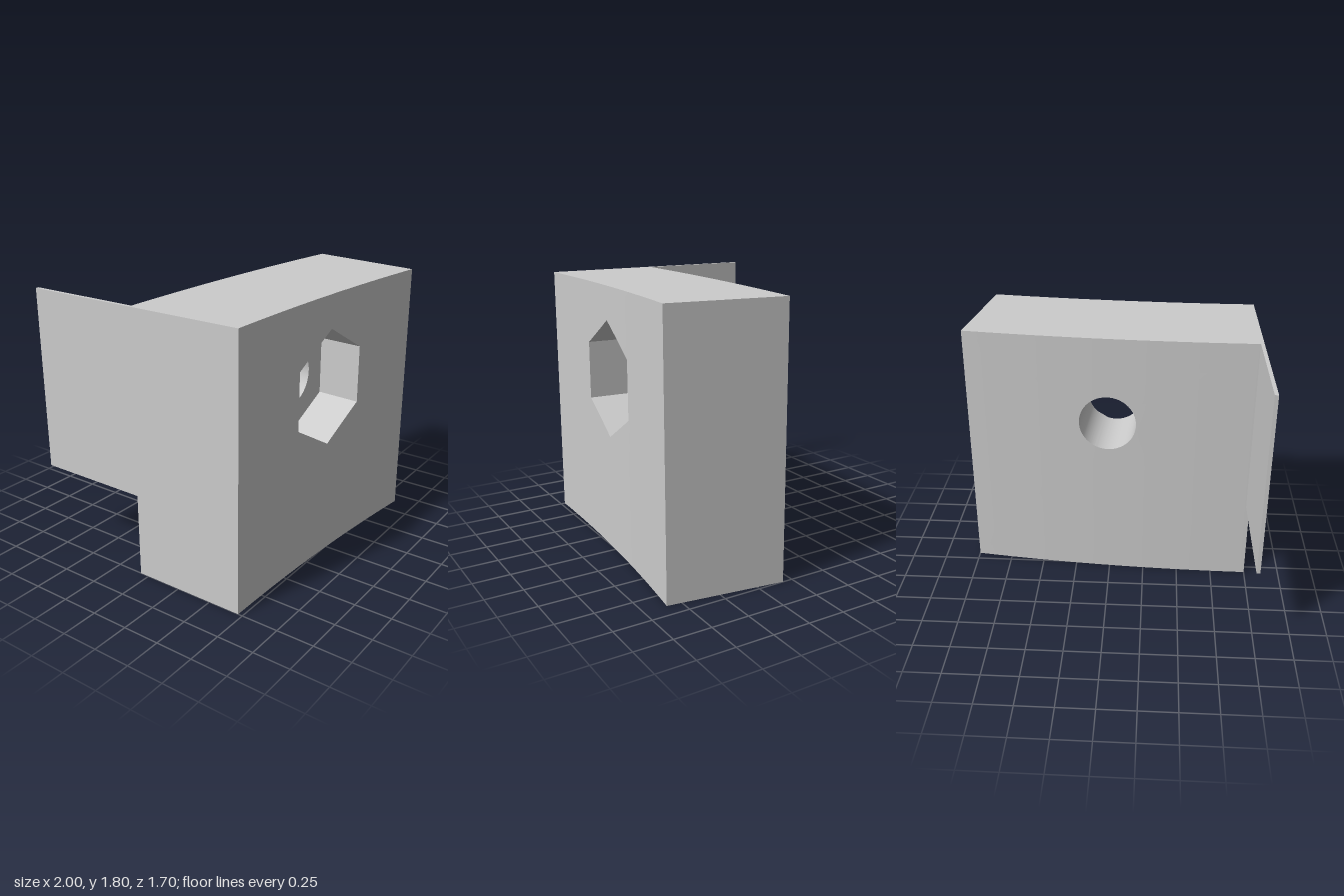
import * as THREE from 'three';
import { toCreasedNormals } from 'three/addons/utils/BufferGeometryUtils.js';

const FRONT_R = 14.215, BACK_R = 15;      // concentric radii of the curved faces
const AXIS_X = -1, AXIS_Z = 14.935;       // vertical axis of that curvature
const END = THREE.MathUtils.degToRad(7.66);
const HOLE = THREE.MathUtils.degToRad(3.88); // direction of the bolt hole
const HOLE_Y = 1.187, HEIGHT = 1.803;
const BORE_R = 0.1975, HEX_R = 0.392, FLOOR = FRONT_R + 0.3;

// Outline of the block around the hole, per unit of radius horizontally
const U0 = -Math.sin(HOLE) * FRONT_R, U1 = Math.sin(END - HOLE) * FRONT_R;
const V0 = -HOLE_Y, V1 = HEIGHT - HOLE_Y;

// Loops around the hole axis: angle -> [u, v]
const outline = (radius) => (a) => {
  const c = Math.cos(a), s = Math.sin(a);
  const t = Math.min((c > 0 ? U1 : U0) / c, (s > 0 ? V1 : V0) / s);
  return [t * c * radius / FRONT_R, t * s];
};
const hexagon = (a) => {
  const step = Math.PI / 3;
  const off = a - Math.round(a / step) * step;
  const r = HEX_R * Math.cos(step / 2) / Math.cos(off);
  return [r * Math.cos(a), r * Math.sin(a)];
};
const circle = (a) => [BORE_R * Math.cos(a), BORE_R * Math.sin(a)];

// Distance of each surface from the axis
const curved = (radius) => (u) => Math.sqrt(radius * radius - u * u);
const flat = () => FLOOR;

function blockGeometry() {
  // Angles include every corner so that edges stay exact
  const angles = [];
  for (let i = 0; i < 120; i++) angles.push(-Math.PI + (i + 0.5) * Math.PI / 60);
  for (let i = 0; i < 6; i++) angles.push(-Math.PI + Math.PI / 6 + i * Math.PI / 3);
  for (const u of [U0, U1]) for (const v of [V0, V1]) angles.push(Math.atan2(v, u));
  angles.sort((a, b) => a - b);

  const front = curved(FRONT_R), back = curved(BACK_R);
  // Each stage joins loop a on surface wa to loop b on surface wb
  const stages = [
    [outline(FRONT_R), front, hexagon, front, 8],  // front face
    [hexagon, front, hexagon, flat, 1],            // pocket walls
    [hexagon, flat, circle, flat, 1],              // pocket floor
    [circle, flat, circle, back, 1],               // bore
    [circle, back, outline(BACK_R), back, 8],      // back face
    [outline(BACK_R), back, outline(FRONT_R), front, 1], // top, bottom, ends
  ];
  const sin = Math.sin(HOLE), cos = Math.cos(HOLE);
  const pos = [];
  for (const [a, wa, b, wb, rows] of stages) {
    const point = (angle, t) => {
      const p = a(angle), q = b(angle);
      const u = p[0] + (q[0] - p[0]) * t, v = p[1] + (q[1] - p[1]) * t;
      const w = wa(u) * (1 - t) + wb(u) * t;
      return [AXIS_X + w * sin + u * cos, HOLE_Y + v, AXIS_Z - w * cos + u * sin];
    };
    for (let i = 0; i < rows; i++) {
      angles.forEach((angle, j) => {
        const next = angles[(j + 1) % angles.length];
        const p = point(angle, i / rows), q = point(next, i / rows);
        const r = point(next, (i + 1) / rows), s = point(angle, (i + 1) / rows);
        pos.push(...p, ...q, ...r, ...p, ...r, ...s);
      });
    }
  }
  const geo = new THREE.BufferGeometry();
  geo.setAttribute('position', new THREE.Float32BufferAttribute(pos, 3));
  return toCreasedNormals(geo, Math.PI / 6);
}

export function createModel() {
  const model = new THREE.Group();
  model.name = 'curvedMountingBlock';
  const material = new THREE.MeshStandardMaterial({ color: 0xcccccc });

  // Curved block with hexagonal nut pocket and through hole
  const block = new THREE.Mesh(blockGeometry(), material);
  block.name = 'curvedBlock';
  model.add(block);

  // Thin tab reaching back from the right edge
  const tabBottom = 0.568, tabFront = -0.064, tabBack = -0.851;
  const tab = new THREE.Mesh(
    new THREE.BoxGeometry(0.024, HEIGHT - tabBottom, tabFront - tabBack), material);
  tab.name = 'rearTab';
  tab.position.set(-0.988, (HEIGHT + tabBottom) / 2, (tabFront + tabBack) / 2);
  model.add(tab);

  return model;
}
